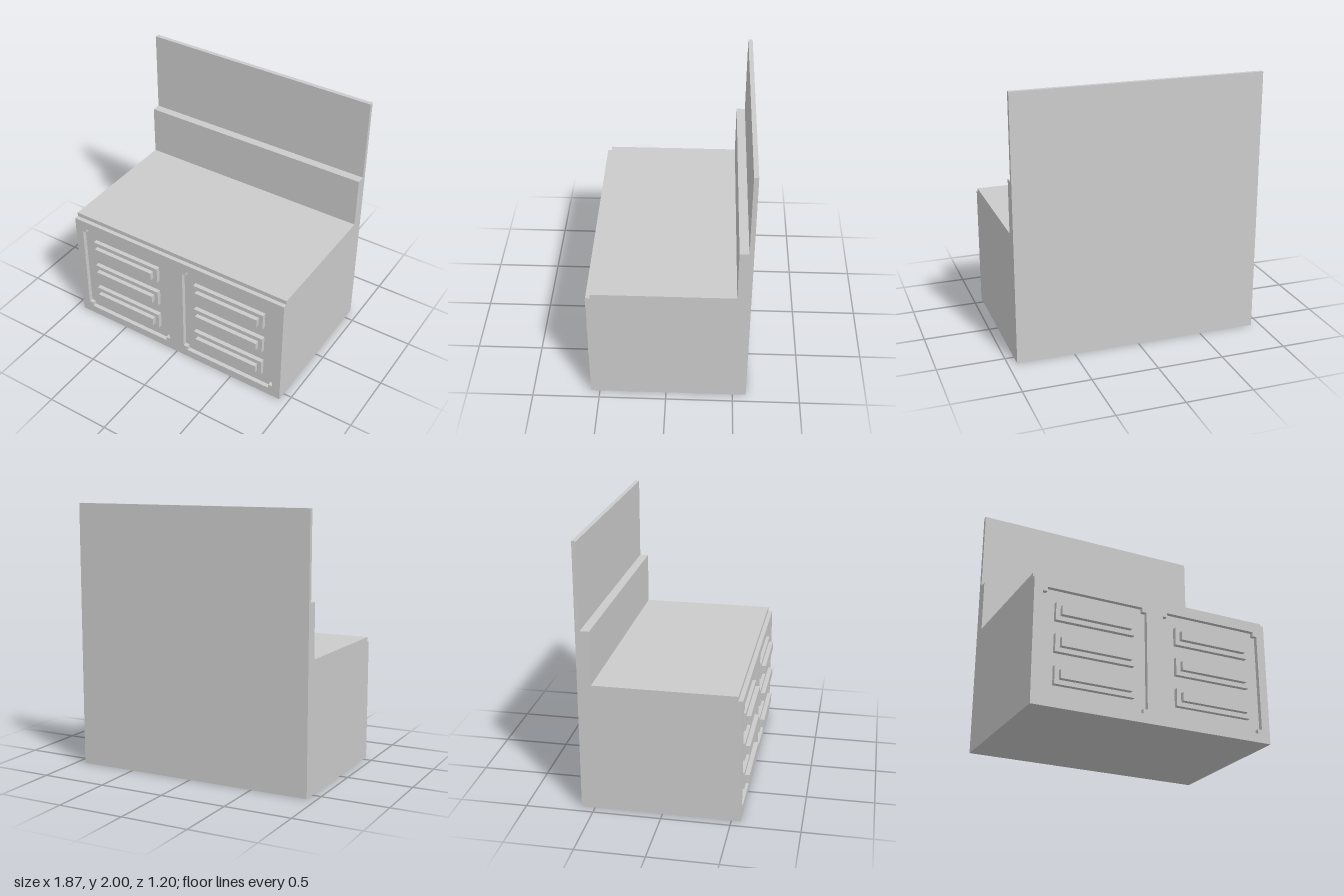
import * as THREE from 'three';

const U = 1 / 30; // grid unit of the blocky design
const material = new THREE.MeshStandardMaterial({ color: 0xcccccc, flatShading: true });

function add(parent, name, geometry, x = 0, y = 0, z = 0) {
  const mesh = new THREE.Mesh(geometry, material);
  mesh.name = name;
  mesh.position.set(x * U, y * U, z * U);
  parent.add(mesh);
  return mesh;
}

const points = (list) => list.map(([x, y]) => new THREE.Vector2(x * U, y * U));
const box = (w, h, d) => new THREE.BoxGeometry(w * U, h * U, d * U);
const extrude = (shape, depth) =>
  new THREE.ExtrudeGeometry(shape, { depth: depth * U, bevelEnabled: false });

// Square opening with a one-unit notch left in every corner
function notchedOpening(cx, cy, h) {
  const n = h - 1;
  const outline = [
    [-n, -h], [-n, -n], [-h, -n], [-h, n], [-n, n], [-n, h],
    [n, h], [n, n], [h, n], [h, -n], [n, -n], [n, -h],
  ];
  return new THREE.Path(points(outline.map(([x, y]) => [cx + x, cy + y])));
}

export function createModel() {
  const group = new THREE.Group();
  group.name = 'counterWithBackboard';

  // Body, counter top and stepped backboard from one side profile (profile x is -z)
  const profile = new THREE.Shape(points([
    [-16, 0], [18, 0], [18, 60], [17, 60], [17, 41], [15, 41], [15, 29], [-16, 29],
  ]));
  const body = add(group, 'body', extrude(profile, 56), -28, 0, 0);
  body.rotation.y = Math.PI / 2;

  // Front frame with two recessed, notched panels
  const frame = new THREE.Shape(points([[-28, 0], [28, 0], [28, 28], [-28, 28]]));
  for (const side of [-1, 1]) frame.holes.push(notchedOpening(side * 14, 14, 12));
  add(group, 'frontFrame', extrude(frame, 1), 0, 0, 16);

  // Three drawers with bar handles in each panel
  for (const side of [-1, 1]) {
    for (const y of [7, 14, 21]) {
      const drawer = new THREE.Group();
      drawer.name = side < 0 ? 'rightDrawer' : 'leftDrawer';
      drawer.position.set(side * 14 * U, y * U, 0);
      add(drawer, 'drawerFront', box(18, 4, 1), 0, 0, 16.5);
      add(drawer, 'drawerHandle', box(16, 2, 1), 0, 0, 17.5);
      group.add(drawer);
    }
  }
  return group;
}
